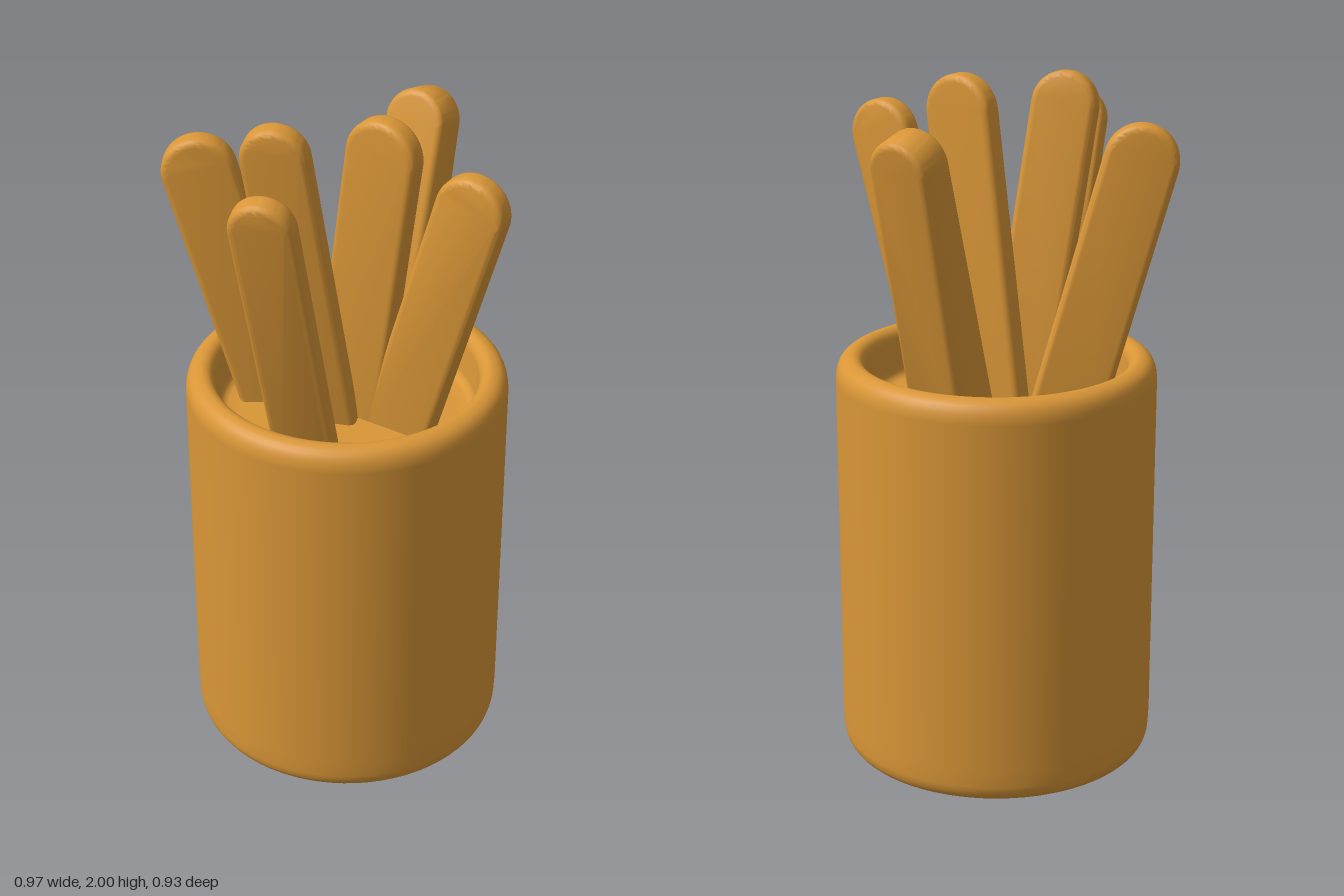
import * as THREE from 'three';
import { toCreasedNormals } from 'three/addons/utils/BufferGeometryUtils.js';

const wood = new THREE.MeshStandardMaterial({ color: 0xd99637 });
wood.name = 'warm wood';

// Round cup: outer wall, rounded rim, shallow recess with a raised floor
function makeCup() {
  const p = new THREE.Path();
  p.moveTo(0, 0);
  p.lineTo(0.425, 0);
  p.quadraticCurveTo(0.455, 0.005, 0.46, 0.05);
  p.lineTo(0.462, 0.1);
  p.lineTo(0.462, 1.14);
  p.quadraticCurveTo(0.46, 1.2, 0.415, 1.205);
  p.quadraticCurveTo(0.385, 1.205, 0.378, 1.17);
  p.lineTo(0.37, 1.09);
  p.quadraticCurveTo(0.368, 1.065, 0.345, 1.06);
  p.lineTo(0.3, 1.055);
  p.lineTo(0, 1.065);
  const mesh = new THREE.Mesh(new THREE.LatheGeometry(p.getPoints(7), 72), wood);
  mesh.name = 'cup';
  return mesh;
}

// Flat stick with a round tip and soft edges, running from base to tip.
// yaw turns its broad face; thickness goes from tBase to tTip.
function makeStick({ name, base, tip, width, yaw, tTip = 0.072, tBase = tTip }) {
  const a = new THREE.Vector3(...base), b = new THREE.Vector3(...tip);
  const length = a.distanceTo(b), r = width / 2, bevel = 0.02;

  const outline = new THREE.Shape();
  outline.moveTo(-r, 0);
  outline.lineTo(r, 0);
  outline.lineTo(r, length - r);
  outline.absarc(0, length - r, r, 0, Math.PI, false);
  outline.closePath();

  let geo = new THREE.ExtrudeGeometry(outline, {
    depth: tTip - 2 * bevel, curveSegments: 16, bevelEnabled: true,
    bevelThickness: bevel, bevelSize: bevel, bevelOffset: -bevel, bevelSegments: 4,
  });
  geo.translate(0, 0, bevel - tTip / 2);

  // Thickness taper along the length
  const pos = geo.attributes.position;
  for (let i = 0; i < pos.count; i++) {
    const k = THREE.MathUtils.lerp(tBase / tTip, 1, pos.getY(i) / length);
    pos.setZ(i, pos.getZ(i) * k);
  }
  geo = toCreasedNormals(geo, 0.6);

  // Align the length with base-to-tip and the width with the yaw direction
  const up = b.clone().sub(a).normalize();
  const side = new THREE.Vector3(Math.cos(yaw), 0, -Math.sin(yaw));
  side.addScaledVector(up, -side.dot(up)).normalize();
  const face = side.clone().cross(up);
  geo.applyMatrix4(new THREE.Matrix4().makeBasis(side, up, face).setPosition(a));

  const mesh = new THREE.Mesh(geo, wood);
  mesh.name = name;
  return mesh;
}

const sticks = [
  { name: 'rightStick', base: [-0.195, 1, 0.04], tip: [-0.405, 1.885, 0.163], width: 0.21, yaw: 0.52 },
  { name: 'innerRightStick', base: [-0.025, 1, 0.065], tip: [-0.115, 2, 0.2], width: 0.19, yaw: 0.32 },
  { name: 'innerLeftStick', base: [0, 1, 0], tip: [0.13, 1.998, 0], width: 0.215, yaw: 0 },
  { name: 'leftStick', base: [0.157, 1, 0], tip: [0.415, 1.897, 0], width: 0.205, yaw: 0 },
  { name: 'frontStick', base: [0.01, 1, 0.222], tip: [-0.008, 1.91, 0.425], width: 0.18, yaw: 0.3 },
  { name: 'backStick', base: [0.015, 1, -0.175], tip: [0.012, 1.905, -0.415], width: 0.185, yaw: 0,
    tTip: 0.12, tBase: 0.175 },
];

export function createModel() {
  const model = new THREE.Group();
  model.name = 'cupOfSticks';
  model.add(makeCup());
  for (const s of sticks) model.add(makeStick(s));
  return model;
}
